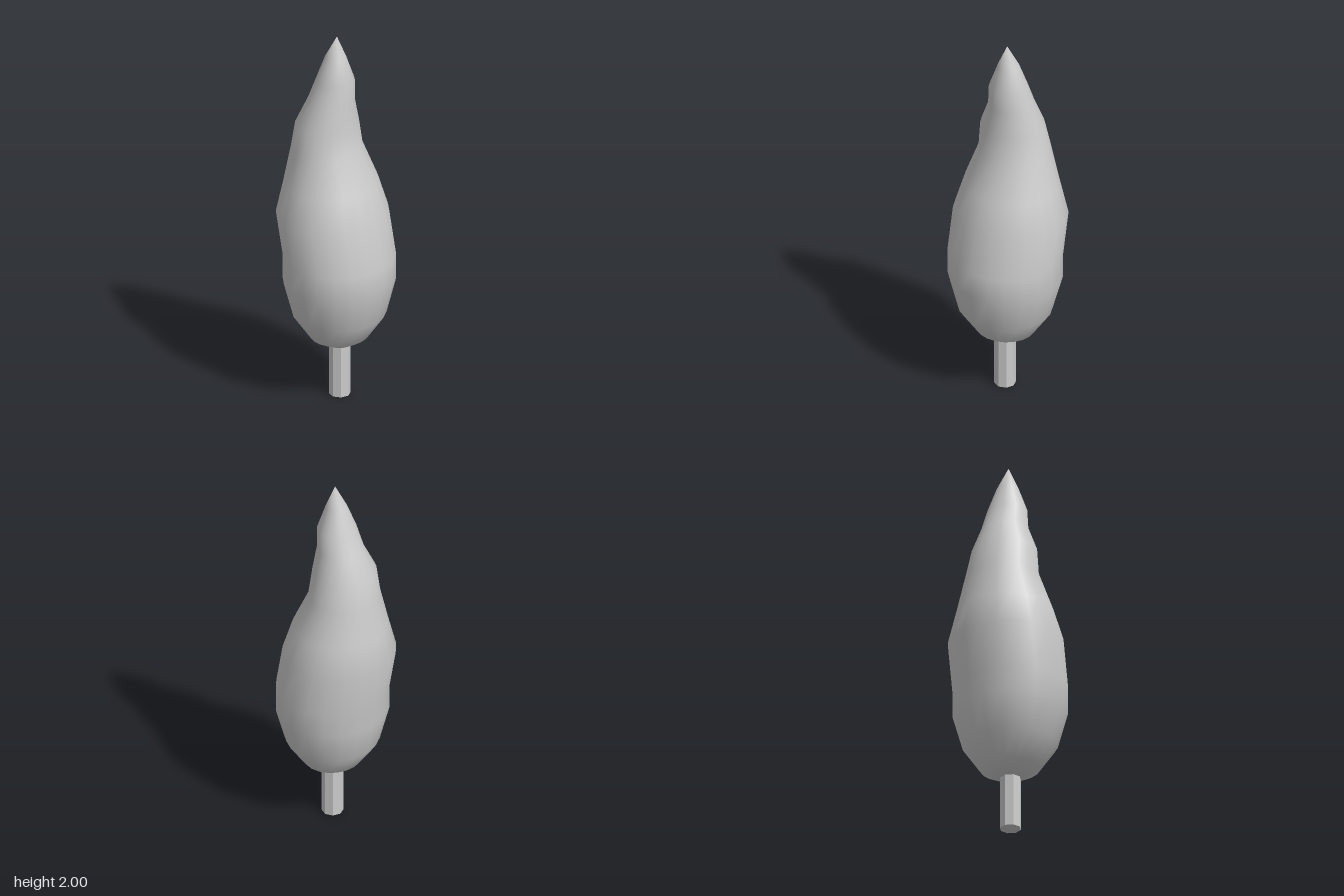
import * as THREE from 'three';

const SIDES = 20;

// Foliage cross-sections: height, centre x, centre z, half width x, half width z
const RINGS = [
  [0.28, 0.02, 0, 0.06, 0.06],
  [0.33, 0.02, 0, 0.145, 0.155],
  [0.46, 0.02, 0, 0.235, 0.245],
  [0.65, 0.02, 0, 0.28, 0.3],
  [0.78, 0.02, 0, 0.28, 0.3],
  [1.01, -0.024, 0, 0.28, 0.3],
  [1.18, -0.033, 0, 0.238, 0.25],
  [1.37, -0.06, 0, 0.178, 0.19],
  [1.51, -0.052, 0.008, 0.158, 0.17],
  [1.645, -0.032, 0, 0.118, 0.12],
  [1.755, -0.008, 0, 0.098, 0.103],
  [1.88, -0.005, 0, 0.056, 0.056],
];

// Closed smooth skin through the rings, with a centre point at each end
function foliageGeometry() {
  const positions = [];
  const index = [];
  for (const [y, cx, cz, rx, rz] of RINGS) {
    for (let i = 0; i < SIDES; i++) {
      const a = (i / SIDES) * Math.PI * 2;
      positions.push(cx + rx * Math.cos(a), y, cz + rz * Math.sin(a));
    }
  }
  const last = (RINGS.length - 1) * SIDES;
  const bottom = last + SIDES;
  const tip = bottom + 1;
  positions.push(0.02, 0.28, 0, 0.004, 2, 0);

  for (let i = 0; i < SIDES; i++) {
    const j = (i + 1) % SIDES;
    for (let r = 0; r < last; r += SIDES) {
      const a = r + i, b = r + j, c = a + SIDES, d = b + SIDES;
      index.push(a, c, b, b, c, d);
    }
    index.push(bottom, i, j);
    index.push(last + i, tip, last + j);
  }

  const geometry = new THREE.BufferGeometry();
  geometry.setAttribute('position', new THREE.Float32BufferAttribute(positions, 3));
  geometry.setIndex(index);
  geometry.computeVertexNormals();
  return geometry;
}

export function createModel() {
  const model = new THREE.Group();
  model.name = 'cypressTree';

  const foliage = new THREE.Mesh(
    foliageGeometry(),
    new THREE.MeshStandardMaterial({ color: 0xcccccc })
  );
  foliage.name = 'foliage';
  model.add(foliage);

  // Faceted trunk, ending at the underside of the foliage
  const trunk = new THREE.Mesh(
    new THREE.CylinderGeometry(0.055, 0.055, 0.29, 8),
    new THREE.MeshStandardMaterial({ color: 0xcccccc, flatShading: true })
  );
  trunk.name = 'trunk';
  trunk.position.set(0.022, 0.145, 0);
  model.add(trunk);

  return model;
}
